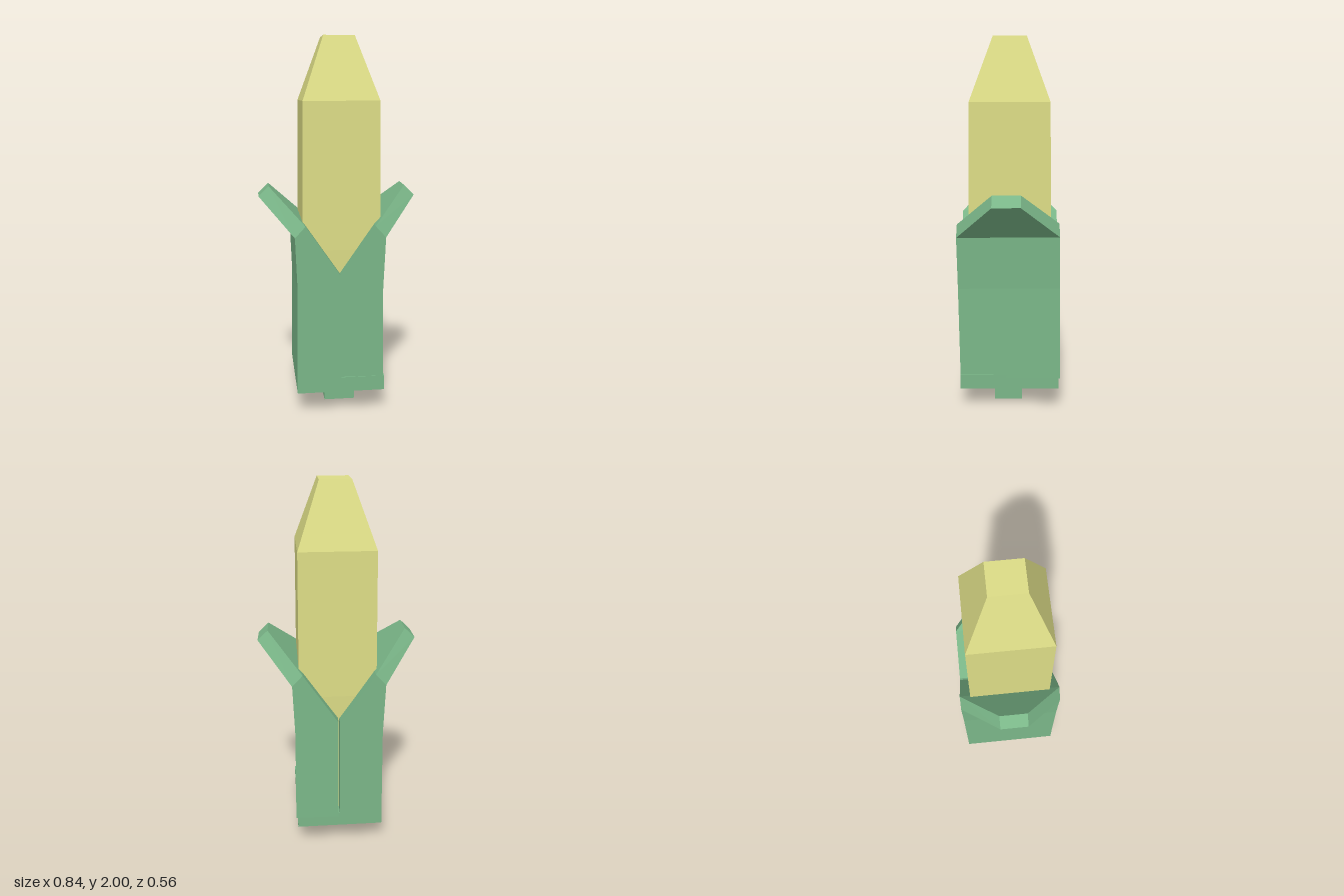
import * as THREE from 'three';

const kernelYellow = new THREE.MeshStandardMaterial({ name: 'kernelYellow', color: 0xdcdc86, flatShading: true });
const huskGreen = new THREE.MeshStandardMaterial({ name: 'huskGreen', color: 0x7ab688, flatShading: true });

// Skin a stack of four-cornered rings (counterclockwise from above) and cap both ends
function loft(rings) {
  const pos = [];
  const quad = (a, b, c, d) => [a, b, c, a, c, d].forEach((p) => pos.push(...p));
  for (let i = 0; i < rings.length - 1; i++) {
    const a = rings[i], b = rings[i + 1];
    for (let j = 0; j < 4; j++) {
      const k = (j + 1) % 4;
      quad(a[j], a[k], b[k], b[j]);
    }
  }
  const lo = rings[0], hi = rings[rings.length - 1];
  quad(lo[3], lo[2], lo[1], lo[0]);
  quad(hi[0], hi[1], hi[2], hi[3]);
  const g = new THREE.BufferGeometry();
  g.setAttribute('position', new THREE.Float32BufferAttribute(pos, 3));
  g.computeVertexNormals();
  return g;
}

function mesh(name, geometry, material, parent) {
  const m = new THREE.Mesh(geometry, material);
  m.name = name;
  parent.add(m);
  return m;
}

function box(name, x0, x1, y0, y1, z0, z1, parent) {
  const m = mesh(name, new THREE.BoxGeometry(x1 - x0, y1 - y0, z1 - z0), huskGreen, parent);
  m.position.set((x0 + x1) / 2, (y0 + y1) / 2, (z0 + z1) / 2);
}

// One half of the husk, on the +x side, with y measured from the pivot height
const PIVOT = 0.6;
function makeLeaf(name, bottom) {
  const leaf = new THREE.Group();
  leaf.name = name;
  // Outer wall that bends outward into a tapering flap: [outer x, outer y, inner x, inner y, half depth]
  const sections = [
    [0.235, bottom, 0.185, bottom, 0.27],
    [0.229, 0.7, 0.18, 0.7, 0.27],
    [0.24, 0.98, 0.185, 1.04, 0.27],
    [0.42, 1.17, 0.365, 1.223, 0.072],
  ];
  const rings = sections.map(([ox, oy, ix, iy, z]) => [
    [ix, iy - PIVOT, z], [ox, oy - PIVOT, z], [ox, oy - PIVOT, -z], [ix, iy - PIVOT, -z],
  ]);
  mesh('leafFlap', loft(rings), huskGreen, leaf);

  // Front and back walls with the sloped collar edge
  const shape = new THREE.Shape([
    [0, bottom], [0.185, bottom], [0.18, 0.7], [0.185, 1.04], [0, 0.77],
  ].map(([x, y]) => new THREE.Vector2(x, y - PIVOT)));
  const wall = new THREE.ExtrudeGeometry(shape, { depth: 0.06, bevelEnabled: false });
  mesh('leafFrontWall', wall, huskGreen, leaf).position.z = 0.21;
  mesh('leafBackWall', wall, huskGreen, leaf).position.z = -0.27;
  leaf.position.y = PIVOT;
  return leaf;
}

export function createModel() {
  const corn = new THREE.Group();
  corn.name = 'cornCob';

  // Cob: [y, x min, x max, z min, z max]
  const cob = [
    [0.15, -0.18, 0.19, -0.2, 0.2],
    [0.9, -0.198, 0.213, -0.215, 0.216],
    [1.67, -0.19, 0.206, -0.205, 0.208],
    [2, -0.073, 0.09, -0.086, 0.087],
  ].map(([y, x0, x1, z0, z1]) => [[x0, y, z1], [x1, y, z1], [x1, y, z0], [x0, y, z0]]);
  mesh('cob', loft(cob), kernelYellow, corn);

  // Husk halves; the left one sits slightly crooked
  const right = makeLeaf('rightLeaf', 0.135);
  right.rotation.y = Math.PI;
  const left = makeLeaf('leftLeaf', 0.19);
  left.rotation.set(0.015, -0.032, 0);
  left.position.z = -0.003;
  corn.add(right, left);

  // Base and stem
  box('huskBase', -0.234, 0.234, 0.13, 0.21, -0.266, 0.269, corn);
  box('stem', -0.072, 0.096, 0, 0.14, -0.07, 0.086, corn);
  return corn;
}
